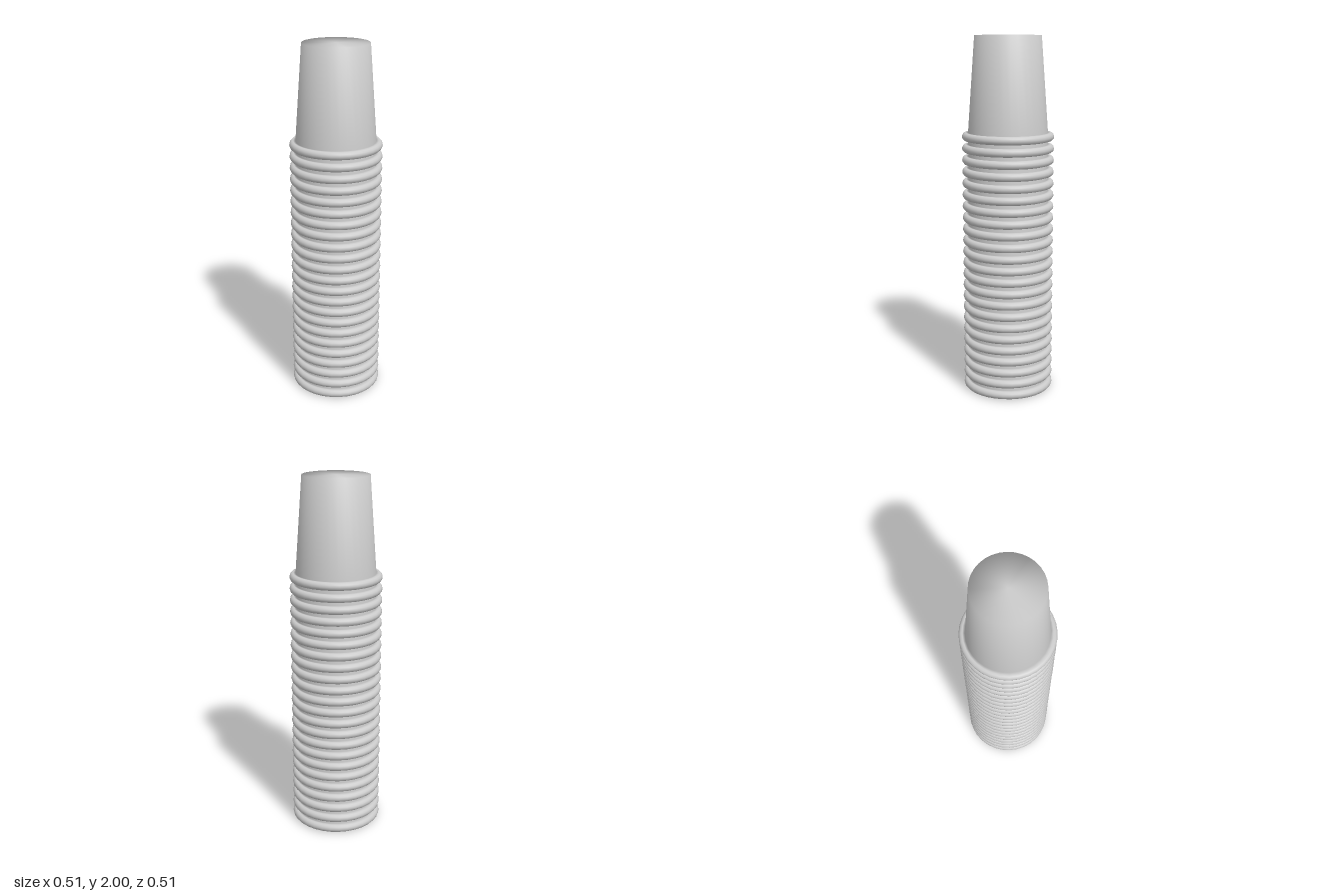
import * as THREE from 'three';

const CUPS = 23;       // cups in the stack
const PITCH = 0.065;   // rise from one cup to the next
const HEIGHT = 2 - (CUPS - 1) * PITCH;
const WALL = 0.003;

// Profile of one upside-down cup: inner wall, rolled rim, outer wall, base
function cupProfile() {
  const p = [[0, HEIGHT - WALL], [0.183 - WALL, HEIGHT - WALL], [0.222 - WALL, 0.006], [0.226, 0]];
  const rimR = 0.0225;
  for (let i = 0; i <= 6; i++) {
    const a = -Math.PI / 2 + (i / 6) * Math.PI;
    p.push([0.234 + 0.021 * Math.cos(a), rimR + rimR * Math.sin(a)]);
  }
  p.push([0.221, 0.044], [0.183, HEIGHT], [0, HEIGHT]);
  return p.map(([r, y]) => new THREE.Vector2(r, y));
}

export function createModel() {
  const model = new THREE.Group();
  model.name = 'cupStack';
  const material = new THREE.MeshStandardMaterial({ color: 0xcccccc, side: THREE.DoubleSide });
  const geometry = new THREE.LatheGeometry(cupProfile(), 32);

  // Nested cups, each resting over the one below
  for (let i = 0; i < CUPS; i++) {
    const cup = new THREE.Mesh(geometry, material);
    cup.name = `cup${i + 1}`;
    cup.position.y = i * PITCH;
    model.add(cup);
  }
  return model;
}
